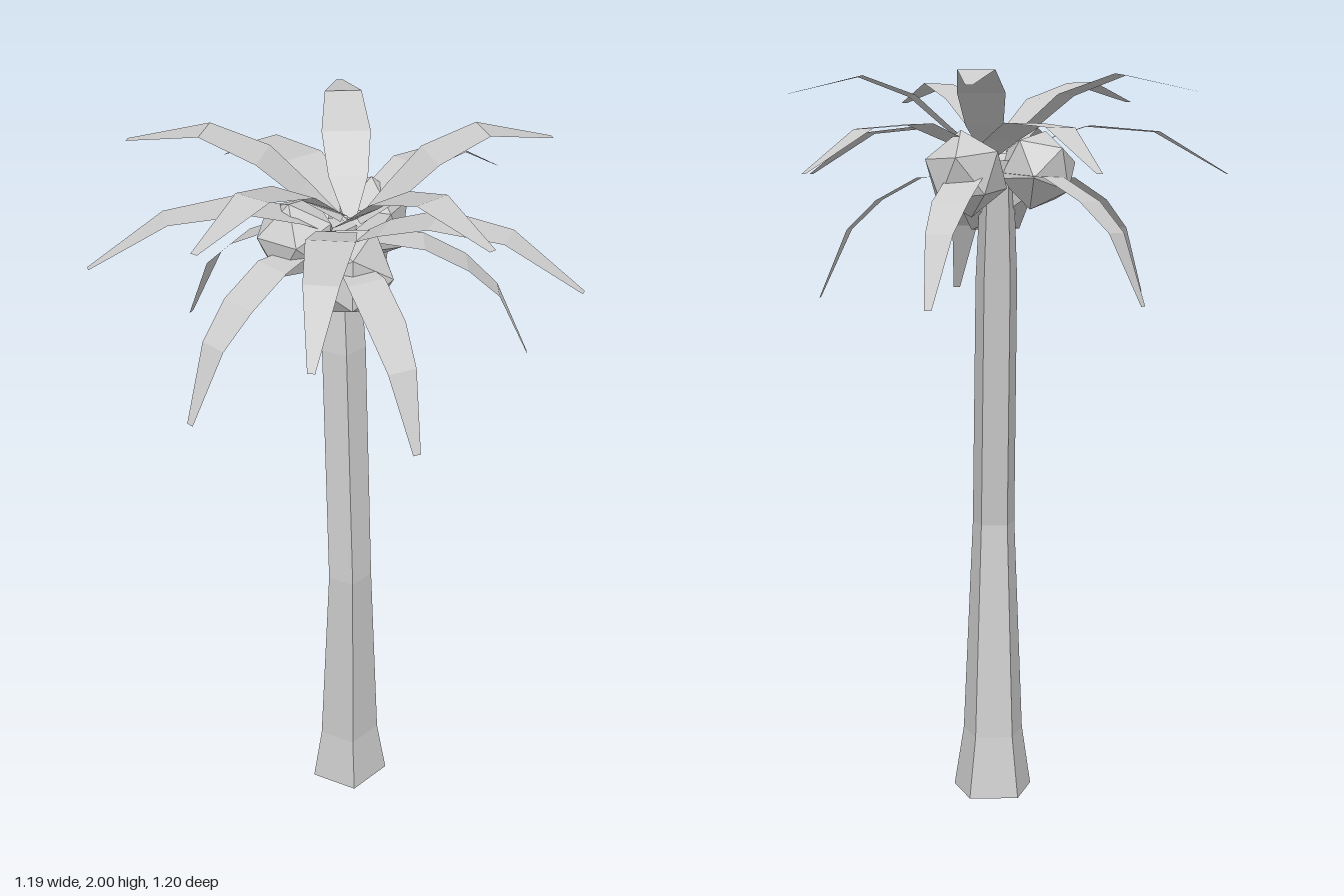
import * as THREE from 'three';

const grey = new THREE.MeshStandardMaterial({ color: 0xcccccc, flatShading: true });
const leafGrey = new THREE.MeshStandardMaterial({ color: 0xcccccc, flatShading: true, side: THREE.DoubleSide });

function addMesh(parent, geometry, material, name) {
  const g = geometry.index ? geometry.toNonIndexed() : geometry;
  g.computeVertexNormals();
  const mesh = new THREE.Mesh(g, material);
  mesh.name = name;
  parent.add(mesh);
  return mesh;
}

// Five-sided trunk: each row of a unit cylinder is scaled and shifted, top to bottom
function trunkGeometry() {
  const rings = [ // x, y, z, radius
    [-0.015, 1.78, -0.025, 0.045],
    [-0.043, 1.46, 0.015, 0.06],
    [-0.078, 0.77, 0.072, 0.062],
    [-0.055, 0.17, 0.045, 0.088],
    [-0.05, 0, 0.04, 0.115],
  ];
  const g = new THREE.CylinderGeometry(1, 1, 1, 5, rings.length - 1, false, Math.PI);
  const p = g.attributes.position;
  for (let i = 0; i < p.count; i++) {
    const [x, y, z, r] = rings[Math.round((0.5 - p.getY(i)) * (rings.length - 1))];
    p.setXYZ(i, x + p.getX(i) * r, y, z + p.getZ(i) * r);
  }
  return g;
}

// Flat tapering leaf strip from base to tip; profile rows are [fraction, height, width]
function frondGeometry([tx, tz, bx, bz], profile) {
  const dx = tx - bx, dz = tz - bz, len = Math.hypot(dx, dz);
  const sx = -dz / len, sz = dx / len;
  const pos = [], idx = [];
  profile.forEach(([t, y, w], i) => {
    for (const s of [-w / 2, w / 2]) pos.push(bx + dx * t + sx * s, y, bz + dz * t + sz * s);
    const a = 2 * i;
    if (i < profile.length - 1) idx.push(a, a + 1, a + 2, a + 1, a + 3, a + 2);
  });
  const g = new THREE.BufferGeometry();
  g.setAttribute('position', new THREE.Float32BufferAttribute(pos, 3));
  g.setIndex(idx);
  return g;
}

// Three tiers of five fronds; tips are [tipX, tipZ, baseX, baseZ]
const tiers = [
  {
    name: 'upperFrond',
    profile: [[0, 1.8, 0.03], [0.18, 1.87, 0.1], [0.36, 1.95, 0.125], [0.63, 2, 0.095], [1, 1.953, 0.018]],
    tips: [[-0.595, 0.1, 0, -0.02], [-0.3, -0.49, -0.02, -0.01], [0.355, -0.39, 0, 0],
      [0.46, 0.26, 0, 0.03], [-0.12, 0.56, -0.06, 0.01]],
  },
  {
    name: 'middleFrond',
    profile: [[0, 1.77, 0.03], [0.18, 1.83, 0.1], [0.39, 1.873, 0.12], [0.69, 1.858, 0.085], [1, 1.745, 0.018]],
    tips: [[0.125, -0.6, 0.02, 0], [-0.565, -0.34, -0.03, 0], [-0.53, 0.4, -0.03, 0],
      [0.185, 0.595, -0.07, 0.04], [0.59, -0.022, 0, 0]],
  },
  {
    name: 'lowerFrond',
    profile: [[0, 1.75, 0.03], [0.4, 1.735, 0.1], [0.64, 1.675, 0.1], [0.82, 1.595, 0.075], [1, 1.41, 0.02]],
    tips: [[-0.145, -0.465, -0.01, -0.03], [-0.523, -0.038, -0.04, -0.04], [-0.23, 0.45, -0.06, 0],
      [0.33, 0.325, 0, 0], [0.375, -0.245, 0, 0]],
  },
];

export function createModel() {
  const palm = new THREE.Group();
  palm.name = 'palmTree';
  addMesh(palm, trunkGeometry(), grey, 'trunk');

  // Crown of leaves
  const crown = new THREE.Group();
  crown.name = 'crown';
  palm.add(crown);
  for (const { name, profile, tips } of tiers)
    tips.forEach((tip, i) => addMesh(crown, frondGeometry(tip, profile), leafGrey, name + (i + 1)));

  // Coconuts clustered under the crown: x, y, z, radius, turn
  const nuts = [
    [-0.07, 1.7, 0.06, 0.125, 0.4],
    [0.105, 1.745, -0.045, 0.115, 1.3],
    [-0.105, 1.755, -0.085, 0.11, 2.2],
  ];
  nuts.forEach(([x, y, z, r, turn], i) => {
    const nut = addMesh(palm, new THREE.IcosahedronGeometry(r, 0), grey, 'coconut' + (i + 1));
    nut.position.set(x, y, z);
    nut.rotation.set(0.55, turn, 0);
  });
  return palm;
}
